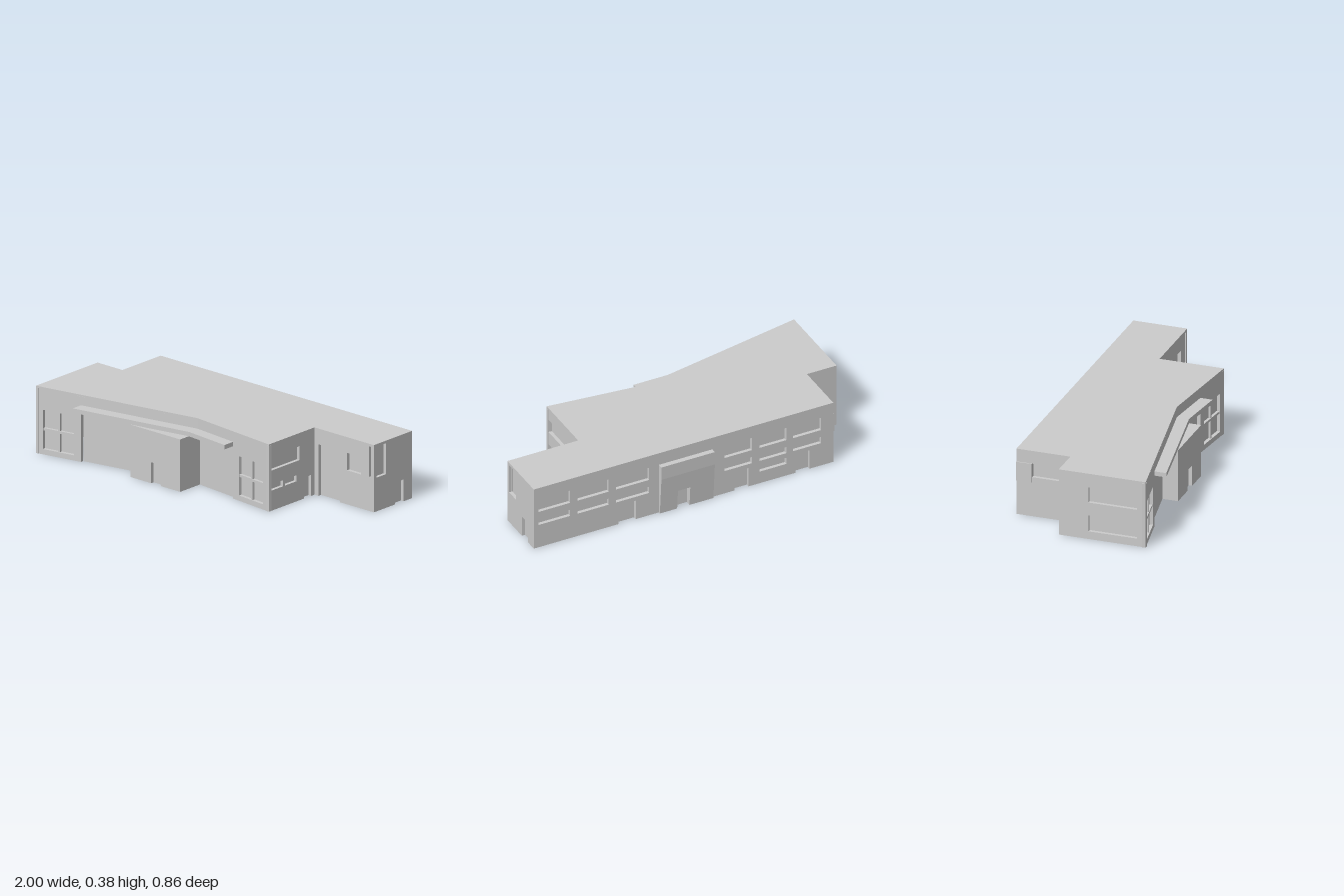
import * as THREE from 'three';

const MAT = new THREE.MeshStandardMaterial({ color: 0xcccccc, flatShading: true });
const T = 0.02;        // wall thickness, also depth of the window recesses
const H = 0.375;       // wall height below the roof slab
const ROOF = 0.385;

function mesh(name, geometry, parent) {
  const m = new THREE.Mesh(geometry, MAT);
  m.name = name;
  parent.add(m);
  return m;
}

function box(name, parent, x0, x1, y0, y1, z0, z1) {
  const m = mesh(name, new THREE.BoxGeometry(x1 - x0, y1 - y0, z1 - z0), parent);
  m.position.set((x0 + x1) / 2, (y0 + y1) / 2, (z0 + z1) / 2);
  return m;
}

// Flat slab from a plan outline of [x, z] points
function slab(name, parent, plan, y0, y1) {
  const shape = new THREE.Shape(plan.map(([x, z]) => new THREE.Vector2(x, -z)));
  const g = new THREE.ExtrudeGeometry(shape, { depth: y1 - y0, bevelEnabled: false });
  g.rotateX(-Math.PI / 2);
  g.translate(0, y0, 0);
  return mesh(name, g, parent);
}

// Wall from a to b (left to right seen from outside).
// Openings are [u0, u1, y0, y1, bars], u being world x or z along the wall.
function wall(name, parent, a, b, openings = [], y0 = 0, y1 = H) {
  const dx = b[0] - a[0], dz = b[1] - a[1], len = Math.hypot(dx, dz);
  const axis = Math.abs(dx) > Math.abs(dz) ? 0 : 1;
  const along = u => (u - a[axis]) / (b[axis] - a[axis]) * len;
  const list = openings.map(([u0, u1, lo, hi, bars]) => {
    const [s0, s1] = [along(u0), along(u1)].sort((p, q) => p - q);
    return { s0, s1, lo, hi, bars };
  }).sort((p, q) => p.s0 - q.s0);

  // Doors notch the bottom edge, windows are holes
  const shape = new THREE.Shape();
  shape.moveTo(0, y0);
  for (const o of list.filter(o => o.lo === 0)) {
    shape.lineTo(o.s0, 0).lineTo(o.s0, o.hi).lineTo(o.s1, o.hi).lineTo(o.s1, 0);
  }
  shape.lineTo(len, y0).lineTo(len, y1).lineTo(0, y1).closePath();
  for (const o of list.filter(o => o.lo > 0)) {
    const hole = new THREE.Path();
    hole.moveTo(o.s0, o.lo).lineTo(o.s0, o.hi).lineTo(o.s1, o.hi).lineTo(o.s1, o.lo).closePath();
    shape.holes.push(hole);
  }

  const group = new THREE.Group();
  group.name = name;
  const g = new THREE.ExtrudeGeometry(shape, { depth: T, bevelEnabled: false });
  g.translate(0, 0, -T);
  mesh('wallFace', g, group);
  for (const { s0, s1, lo, hi, bars } of list) {
    box(lo === 0 ? 'doorPanel' : 'windowPane', group, s0, s1, lo, hi, -T - 0.004, -T);
    if (bars) {
      const s = (s0 + s1) / 2, y = (lo + hi) / 2;
      box('uprightBar', group, s - 0.007, s + 0.007, lo, hi, -T, -0.006);
      box('crossBar', group, s0, s1, y - 0.007, y + 0.007, -T, -0.004);
    }
  }
  group.position.set(a[0], 0, a[1]);
  group.rotation.y = Math.atan2(-dz, dx);
  parent.add(group);
}

export function createModel() {
  const root = new THREE.Group();
  root.name = 'building';

  // Roof
  slab('roof', root, [[-1, -0.09], [-1, 0.41], [0, 0.22], [0.57, 0.28], [0.57, -0.09],
    [1, -0.09], [1, -0.4], [-0.82, -0.4], [-0.82, -0.09]], H, ROOF);

  // Front: two window wings around a slightly recessed middle
  const L = [-0.72, 0.357], M = [0, 0.22], R = [0.285, 0.25];
  const back = ([x, z]) => [x, z - T + 0.001];
  wall('frontWingRight', root, [-1, 0.41], L, [[-0.955, -0.765, 0.03, 0.255, true]]);
  wall('frontWingLeft', root, R, [0.57, 0.28], [[0.33, 0.525, 0.03, 0.255, true]]);
  wall('frontLintel', root, L, M, [], 0.3);
  wall('frontLintel', root, M, R, [], 0.3);
  wall('frontMiddleRight', root, back(L), back([-0.36, 0.2885]), [], 0, 0.31);
  wall('frontMiddleLeft', root, back(M), back(R), [], 0, 0.31);

  // Entrance porch and the bent canopy over it
  const porch = new THREE.Group();
  porch.name = 'porch';
  root.add(porch);
  wall('porchSide', porch, [-0.36, 0.27], [-0.36, 0.36], [], 0, 0.295);
  wall('porchFront', porch, [-0.36, 0.36], [0, 0.36], [[-0.21, -0.14, 0, 0.12]], 0, 0.295);
  wall('porchSide', porch, [0, 0.36], [0, 0.2], [], 0, 0.295);
  slab('porchRoof', porch, [[-0.36, 0.28], [-0.36, 0.36], [0, 0.36], [0, 0.21]], 0.295, 0.3);
  slab('canopy', root, [L, [-0.72, 0.425], [0, 0.29], [0.285, 0.32], R, M], 0.3, 0.325);

  // Left side and its rear extension
  wall('leftWall', root, [0.57, 0.28], [0.57, -0.09], [
    [0.275, 0.03, 0.23, 0.31], [0.275, 0.165, 0.115, 0.15],
    [0.15, 0.055, 0.115, 0.15], [-0.005, -0.062, 0, 0.12]]);
  wall('extensionFront', root, [0.57, -0.09], [1, -0.09], [
    [0.6, 0.755, 0, 0.295], [0.805, 0.905, 0.195, 0.295], [0.965, 0.985, 0.195, 0.37]]);
  wall('extensionSide', root, [1, -0.09], [1, -0.4], [
    [-0.097, -0.19, 0.193, 0.37], [-0.26, -0.33, 0, 0.125]]);

  // Back: rows of windows with doors below
  const bays = [[0.97, 0.78], [0.735, 0.545], [0.5, 0.3],
    [-0.16, -0.325], [-0.37, -0.535], [-0.575, -0.745]];
  const openings = bays.flatMap(([u0, u1]) => [[u0, u1, 0.23, 0.31], [u0, u1, 0.145, 0.185]]);
  openings.push([-0.37, -0.535, 0.075, 0.115]);
  for (const [u0, u1] of [[0.485, 0.38], [0.135, 0.06], [-0.22, -0.305], [-0.59, -0.675]]) {
    openings.push([u0, u1, 0, 0.12]);
  }
  wall('backWall', root, [1, -0.4], [-0.82, -0.4], openings);

  // Tapered rear entrance surround: two sides and a lintel
  const outer = y => y >= 0.23 ? 0.43 : 0.412 + 0.018 * y / 0.23;
  for (const [x0, x1, lo] of [[-0.085, 0.06, 0], [0.135, 0.24, 0], [0.06, 0.135, 0.12]]) {
    const s = new THREE.Shape();
    s.moveTo(0.4, lo).lineTo(outer(lo), lo).lineTo(0.43, 0.23).lineTo(0.43, 0.31).lineTo(0.4, 0.31).closePath();
    const g = new THREE.ExtrudeGeometry(s, { depth: x1 - x0, bevelEnabled: false });
    g.rotateY(Math.PI / 2);   // profile depth now runs to -z, extrusion to +x
    g.translate(x0, 0, 0);
    mesh('rearEntranceSurround', g, root);
  }

  // Right side with its rear notch
  wall('rearRightSide', root, [-0.82, -0.4], [-0.82, -0.09], [[-0.31, -0.13, 0.23, 0.31]]);
  box('cornerPlate', root, -0.826, -0.818, 0.2, 0.31, -0.4, -0.31);
  wall('notchWall', root, [-0.82, -0.09], [-1, -0.09], [[-0.84, -0.91, 0, 0.12]]);
  wall('rightWall', root, [-1, -0.09], [-1, 0.41], [
    [0.08, 0.36, 0.215, 0.305], [0.08, 0.36, 0.045, 0.14]]);

  return root;
}
